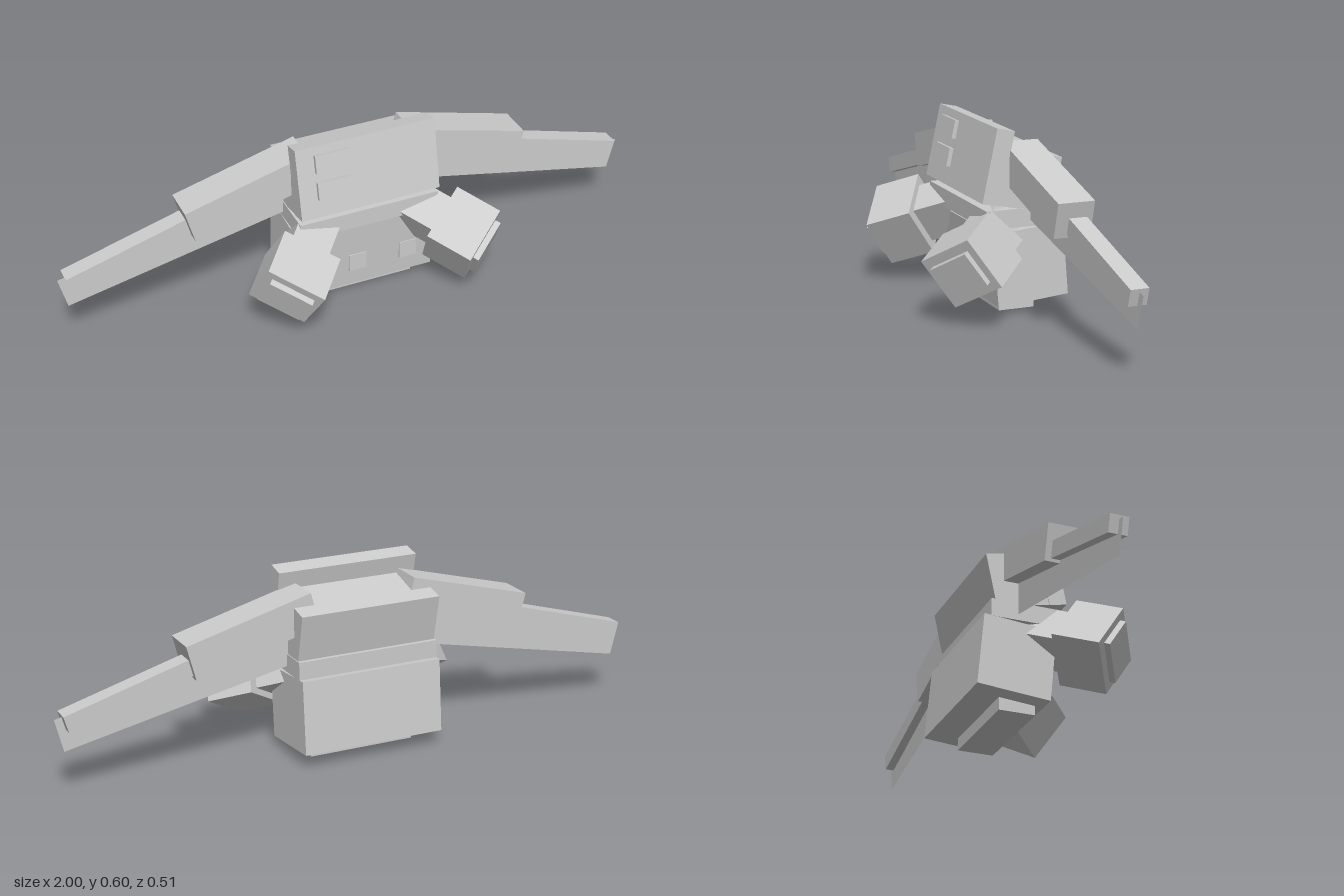
import * as THREE from 'three';

export function createModel() {
  const model = new THREE.Group();
  const grey = new THREE.MeshStandardMaterial({ color: 0xcccccc, side: THREE.DoubleSide });
  grey.name = 'light grey';
  const rad = THREE.MathUtils.degToRad;

  function box(parent, name, size, pos, rx = 0, rz = 0) {
    const mesh = new THREE.Mesh(new THREE.BoxGeometry(...size), grey);
    mesh.name = name;
    mesh.position.set(...pos);
    mesh.rotation.set(rad(rx), 0, rad(rz));
    parent.add(mesh);
    return mesh;
  }

  // Chest: leaning front plate with a thick block behind it
  box(model, 'chestPlate', [0.48, 0.24, 0.06], [0, 0.479, -0.011], -12);
  box(model, 'chestBlock', [0.476, 0.18, 0.19], [0, 0.427, -0.117], -12);
  box(model, 'upperChestPanel', [0.12, 0.06, 0.03], [-0.12, 0.546, 0.004], -12);
  box(model, 'lowerChestPanel', [0.12, 0.06, 0.03], [-0.12, 0.456, 0.023], -12);

  // Waist, lower body and base
  box(model, 'spine', [0.3, 0.2, 0.18], [0, 0.32, -0.09]);
  box(model, 'waist', [0.482, 0.06, 0.24], [0, 0.313, -0.09]);
  box(model, 'lowerBody', [0.48, 0.238, 0.2416], [0, 0.158, -0.123], 5);
  box(model, 'base', [0.36, 0.07, 0.12], [0, 0.035, -0.1]);
  for (const x of [-0.15, -0.03, 0.15]) {
    box(model, 'bodyButton', [0.06, 0.062, 0.03], [x, 0.121, -0.014]);
  }

  // Basis of the front pods: long side, outward direction, and their cross axis
  const up = new THREE.Vector3(-0.033, 0.149, 0.1).normalize();
  const out = new THREE.Vector3(0.1, -0.047, 0.116);
  out.addScaledVector(up, -out.dot(up)).normalize();
  const across = new THREE.Vector3().crossVectors(up, out);
  const podBasis = new THREE.Matrix4().makeBasis(across, up, out);

  // Wing sheet outline
  const sheet = new THREE.Shape([
    [0.2, 0.312], [0.973, 0.15], [1.0, 0.257], [0.225, 0.425],
  ].map(([x, y]) => new THREE.Vector2(x, y)));

  function side(name) {
    const g = new THREE.Group();
    g.name = name;

    // Wing: thick inner arm, thin outer arm, flat sheet hanging below
    box(g, 'upperArm', [0.428, 0.117, 0.12], [0.372, 0.436, -0.109], 0, -15);
    box(g, 'forearm', [0.48, 0.055, 0.059], [0.741, 0.312, -0.12], 0, -16);
    const wing = new THREE.Mesh(new THREE.ShapeGeometry(sheet), grey);
    wing.name = 'wingSheet';
    wing.position.z = -0.12;
    g.add(wing);

    // Angled pod on a short mount
    const pod = new THREE.Group();
    pod.name = 'frontPod';
    pod.position.set(0.2935, 0.208, 0.101);
    pod.quaternion.setFromRotationMatrix(podBasis);
    box(pod, 'podBody', [0.199, 0.182, 0.16], [0, 0, 0]);
    box(pod, 'podPanel', [0.15, 0.12, 0.04], [0, 0, 0.08]);
    box(pod, 'podMount', [0.13, 0.14, 0.13], [0, 0, -0.135]);
    g.add(pod);
    return g;
  }

  const left = side('leftSide');
  const right = side('rightSide');
  right.scale.x = -1;
  model.add(left, right);

  return model;
}
